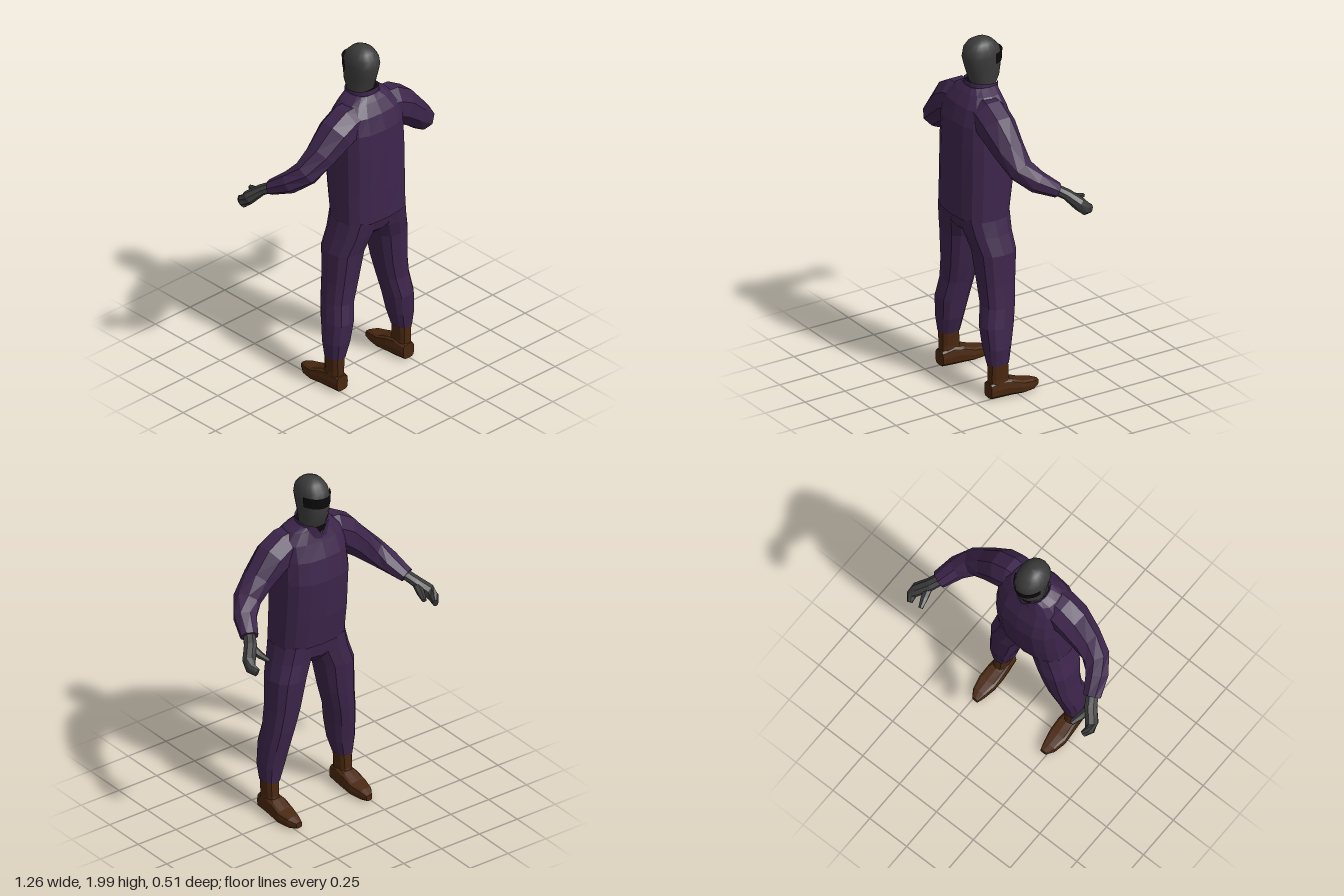
import * as THREE from 'three';

const mat = (name, color) => new THREE.MeshStandardMaterial({ name, color, side: THREE.DoubleSide });
const spow = (v, p) => Math.sign(v) * Math.pow(Math.abs(v), p);

// Skin a list of rings (arrays of points, counter-clockwise about the path).
function skin(rings, { capped = true, smooth = false } = {}) {
  const n = rings[0].length, pos = [], idx = [];
  rings.forEach(r => r.forEach(p => pos.push(p.x, p.y, p.z)));
  for (let k = 0; k < rings.length - 1; k++)
    for (let i = 0; i < n; i++) {
      const a = k * n + i, b = k * n + (i + 1) % n;
      idx.push(a, b, b + n, a, b + n, a + n);
    }
  if (capped) {
    const last = (rings.length - 1) * n;
    for (let i = 1; i < n - 1; i++) {
      idx.push(0, i + 1, i);
      idx.push(last, last + i, last + i + 1);
    }
  }
  let g = new THREE.BufferGeometry();
  g.setAttribute('position', new THREE.Float32BufferAttribute(pos, 3));
  g.setIndex(idx);
  if (!smooth) g = g.toNonIndexed();
  g.computeVertexNormals();
  return g;
}

// Upright rings: rows of [y, xMin, xMax, zFront, zBack].
function upright(rows, n = 12, p = 0.8) {
  return rows.map(([y, x0, x1, z0, z1]) => Array.from({ length: n }, (_, i) => {
    const a = i / n * Math.PI * 2;
    return new THREE.Vector3((x0 + x1) / 2 + (x1 - x0) / 2 * spow(Math.cos(a), p), y,
      (z0 + z1) / 2 - (z1 - z0) / 2 * spow(Math.sin(a), p));
  }));
}

// Rings along the foot, heel to toe: rows of [z, xMin, xMax, yMin, yMax].
function lengthwise(rows, n = 12, p = 0.55) {
  return rows.map(([z, x0, x1, y0, y1]) => Array.from({ length: n }, (_, i) => {
    const a = i / n * Math.PI * 2;
    return new THREE.Vector3((x0 + x1) / 2 + (x1 - x0) / 2 * spow(Math.cos(a), p),
      (y0 + y1) / 2 - (y1 - y0) / 2 * spow(Math.sin(a), p), z);
  }));
}

// Rings across a bent limb: rows of [x, y, z, sideRadius, heightRadius].
function limb(rows, n = 8) {
  const up = new THREE.Vector3(0, 1, 0);
  const pts = rows.map(r => new THREE.Vector3(r[0], r[1], r[2]));
  return rows.map((r, k) => {
    const t = pts[Math.min(k + 1, pts.length - 1)].clone().sub(pts[Math.max(k - 1, 0)]).normalize();
    const u = up.clone().cross(t).normalize(), v = t.clone().cross(u);
    return Array.from({ length: n }, (_, i) => {
      const a = (i + 0.5) / n * Math.PI * 2;
      return pts[k].clone().addScaledVector(u, r[3] * 1.05 * Math.cos(a)).addScaledVector(v, r[4] * 1.05 * Math.sin(a));
    });
  });
}

const sym = (y, x, z0, z1) => [y, -x, x, z0, z1];
const tilt = rings => { rings.flat().forEach(p => { p.y += (p.z - 0.06) * 0.15; }); return rings; };

export function createModel() {
  const model = new THREE.Group();
  const cloth = mat('purple cloth', 0x3d254b), grey = mat('charcoal knit', 0x3b3b3b);
  const leather = mat('brown leather', 0x4a2810), black = mat('black', 0x0b0b0b);
  const add = (name, geometry, material, parent = model) => {
    const m = new THREE.Mesh(geometry, material);
    m.name = name;
    parent.add(m);
    return m;
  };

  // Jacket body
  add('jacket', skin(upright([
    sym(1.02, 0.213, -0.045, 0.255), sym(1.2, 0.212, -0.072, 0.255), sym(1.43, 0.21, -0.09, 0.253),
    sym(1.56, 0.205, -0.07, 0.245), sym(1.65, 0.195, -0.035, 0.215), sym(1.71, 0.14, -0.015, 0.175),
    sym(1.74, 0.085, -0.012, 0.15)], 16, 0.75)), cloth);

  // Standing collar with a notch at the throat, and its dark lining
  const collar = tilt(upright([sym(1.67, 0.095, -0.03, 0.15), sym(1.757, 0.084, -0.032, 0.15)], 16, 0.9));
  collar[1][4].y -= 0.05;
  add('collar', skin(collar, { capped: false }), cloth);
  add('collarLining', skin(tilt(upright([sym(1.69, 0.08, -0.02, 0.14), sym(1.742, 0.08, -0.02, 0.143)], 16, 0.9))), black);

  // Hooded head
  add('head', skin(upright([
    sym(1.7, 0.07, -0.01, 0.11), sym(1.75, 0.075, -0.022, 0.12), sym(1.785, 0.077, -0.042, 0.132),
    sym(1.84, 0.08, -0.05, 0.15), sym(1.9, 0.085, -0.052, 0.165), sym(1.945, 0.079, -0.04, 0.157),
    sym(1.978, 0.06, -0.008, 0.13), sym(1.994, 0.035, 0.02, 0.098), sym(2, 0.012, 0.045, 0.072)], 16, 0.9),
    { smooth: true }), grey);

  // Wraparound glasses
  const glasses = new THREE.CylinderGeometry(1, 0.97, 0.062, 12, 1, true, Math.PI - 1.25, 2.5);
  glasses.scale(0.09, 1, 0.117);
  add('glasses', glasses, black).position.set(0, 1.893, 0.055);

  // Seat of the trousers
  add('trouserSeat', skin(upright([
    sym(0.885, 0.035, 0.02, 0.15), sym(0.94, 0.14, -0.025, 0.215), sym(1.03, 0.204, -0.035, 0.24)])), cloth);

  for (const s of [1, -1]) {
    const side = new THREE.Group();
    side.name = s > 0 ? 'leftLimbs' : 'rightLimbs';
    model.add(side);
    const flipSpan = rows => rows.map(([k, a, b, c, d]) => s > 0 ? [k, a, b, c, d] : [k, -b, -a, c, d]);
    const flipPath = rows => rows.map(([x, ...r]) => [x * s, ...r]);

    // Sleeve
    add('sleeve', skin(limb(flipPath([
      [0.08, 1.62, 0.1, 0.095, 0.09], [0.15, 1.605, 0.1, 0.1, 0.105], [0.225, 1.565, 0.1, 0.1, 0.1],
      [0.325, 1.475, 0.092, 0.085, 0.08], [0.415, 1.39, 0.072, 0.072, 0.068],
      [0.475, 1.33, 0.01, 0.062, 0.058], [0.52, 1.275, -0.088, 0.048, 0.038]]))), cloth, side);

    // Gloved hand and thumb
    add('hand', skin(limb(flipPath([
      [0.51, 1.285, -0.07, 0.033, 0.027], [0.545, 1.25, -0.13, 0.035, 0.028], [0.592, 1.2, -0.18, 0.036, 0.036],
      [0.604, 1.168, -0.212, 0.026, 0.035], [0.588, 1.155, -0.25, 0.015, 0.024]]))), grey, side);
    add('thumb', skin(limb(flipPath([
      [0.545, 1.245, -0.13, 0.022, 0.022], [0.53, 1.215, -0.195, 0.021, 0.018], [0.512, 1.2, -0.252, 0.013, 0.011]]), 6)), grey, side);

    // Trouser leg
    add('trouserLeg', skin(upright(flipSpan([
      [0.205, 0.192, 0.288, 0.048, 0.167], [0.3, 0.16, 0.301, 0.035, 0.182], [0.42, 0.14, 0.292, 0.01, 0.193],
      [0.53, 0.117, 0.278, -0.008, 0.173], [0.65, 0.085, 0.266, -0.02, 0.178], [0.83, 0.05, 0.26, -0.036, 0.195],
      [0.93, 0.012, 0.23, -0.03, 0.222], [1.03, 0, 0.205, -0.033, 0.24]]))), cloth, side);

    // Boot shaft and foot
    add('bootShaft', skin(upright(flipSpan([
      [0.06, 0.197, 0.284, 0.03, 0.163], [0.12, 0.202, 0.28, 0.047, 0.163], [0.215, 0.196, 0.285, 0.053, 0.164]]))), leather, side);
    add('bootFoot', skin(lengthwise(flipSpan([
      [0.166, 0.2, 0.278, 0.012, 0.1], [0.1, 0.19, 0.285, 0.01, 0.12], [0.04, 0.184, 0.29, 0.01, 0.11],
      [-0.03, 0.185, 0.294, 0.006, 0.082], [-0.1, 0.2, 0.278, 0.006, 0.068], [-0.142, 0.213, 0.25, 0.016, 0.05]]))), leather, side);
  }

  // Settle the soles on the ground
  const floor = new THREE.Box3().setFromObject(model).min.y;
  model.children.forEach(c => { c.position.y -= floor; });
  return model;
}
